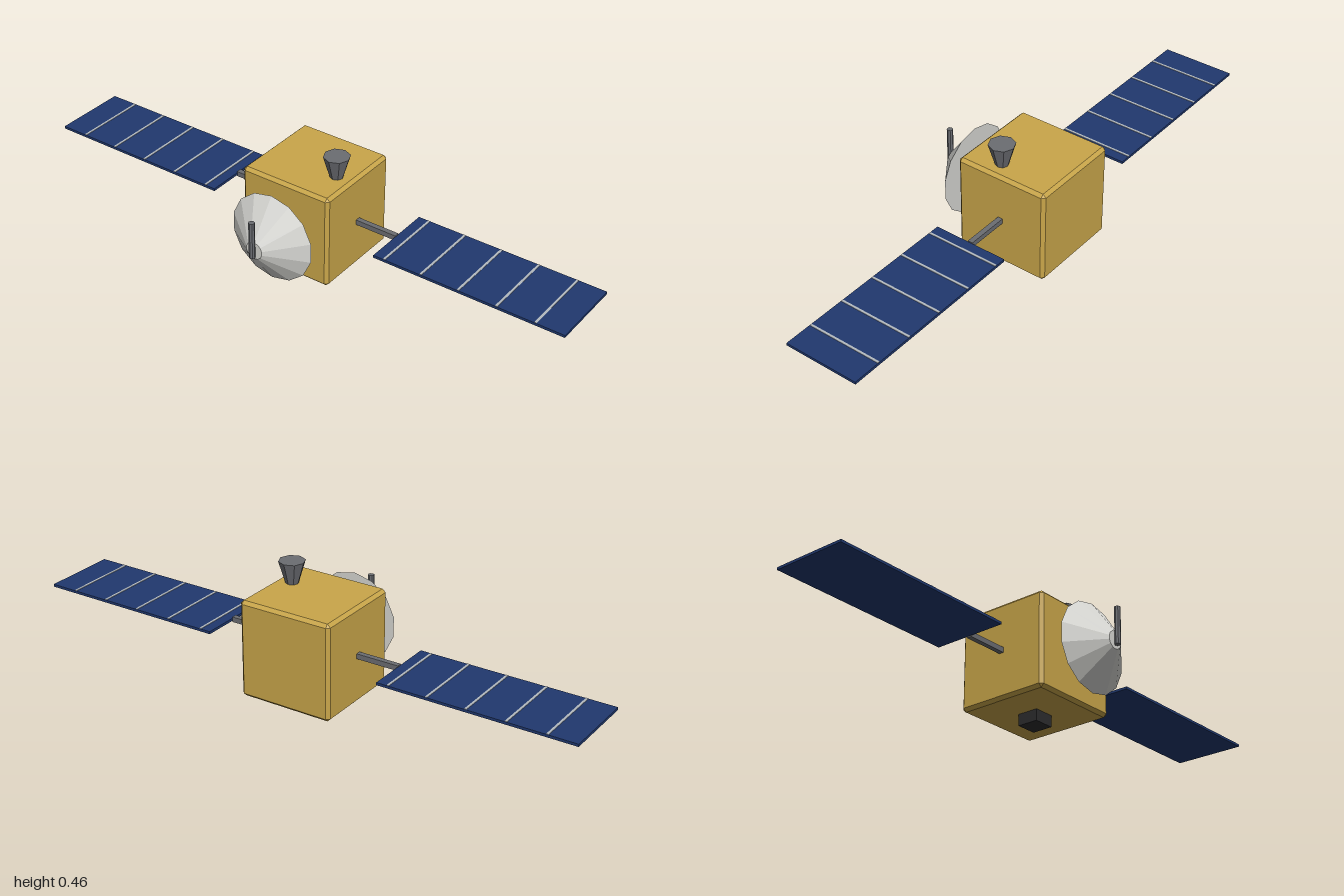
import * as THREE from 'three';
import { ConvexGeometry } from 'three/addons/geometries/ConvexGeometry.js';

const mat = (name, color) => {
  const m = new THREE.MeshStandardMaterial({ color, flatShading: true });
  m.name = name;
  return m;
};

// Box with flat chamfers along every edge and corner
function chamferedBox(w, h, d, c) {
  const half = [w / 2, h / 2, d / 2];
  const points = [];
  for (const sx of [-1, 1]) for (const sy of [-1, 1]) for (const sz of [-1, 1]) {
    for (let face = 0; face < 3; face++) {
      const p = half.map((v, i) => (i === face ? v : v - c));
      points.push(new THREE.Vector3(sx * p[0], sy * p[1], sz * p[2]));
    }
  }
  return new ConvexGeometry(points);
}

export function createModel() {
  const gold = mat('gold foil', 0xc9a64a);
  const blue = mat('solar blue', 0x20386e);
  const silver = mat('grid silver', 0xb4bac0);
  const white = mat('dish white', 0xd6d6d2);
  const grey = mat('metal grey', 0x6b6d72);
  const dark = mat('dark housing', 0x2c2c2e);

  const model = new THREE.Group();
  model.name = 'satellite';
  const add = (parent, name, geometry, material, x, y, z) => {
    const mesh = new THREE.Mesh(geometry, material);
    mesh.name = name;
    mesh.position.set(x, y, z);
    parent.add(mesh);
    return mesh;
  };
  const midY = 0.209, midZ = -0.09;

  // Main body
  add(model, 'body', chamferedBox(0.338, 0.338, 0.338, 0.011), gold, 0, midY, midZ);

  // Solar wings, mirrored left and right
  for (const side of [-1, 1]) {
    const wing = new THREE.Group();
    wing.name = side > 0 ? 'leftWing' : 'rightWing';
    model.add(wing);
    add(wing, 'wingArm', new THREE.BoxGeometry(0.16, 0.018, 0.018), grey, side * 0.241, midY, midZ);
    add(wing, 'solarPanel', new THREE.BoxGeometry(0.68, 0.009, 0.265), blue, side * 0.66, midY, midZ);
    for (let i = -2; i <= 2; i++) {
      add(wing, 'panelDivider', new THREE.BoxGeometry(0.008, 0.002, 0.263), silver,
        side * (0.63 + i * 0.135), midY + 0.005, midZ);
    }
  }

  // Dish, its narrow end facing forward, with the upright feed rod
  const dish = new THREE.CylinderGeometry(0.031, 0.158, 0.093, 14).rotateX(Math.PI / 2);
  add(model, 'dish', dish, white, 0, midY, 0.1935);
  add(model, 'feedRod', new THREE.CylinderGeometry(0.0105, 0.0105, 0.132, 8), grey, 0, 0.256, 0.2505);

  // Thruster on the roof
  add(model, 'thruster', new THREE.CylinderGeometry(0.045, 0.021, 0.081, 8), grey, 0.11, 0.4145, -0.052);

  // Sensor housing underneath
  add(model, 'sensorHousing', new THREE.BoxGeometry(0.075, 0.045, 0.075), dark, 0, 0.0225, midZ);

  return model;
}
